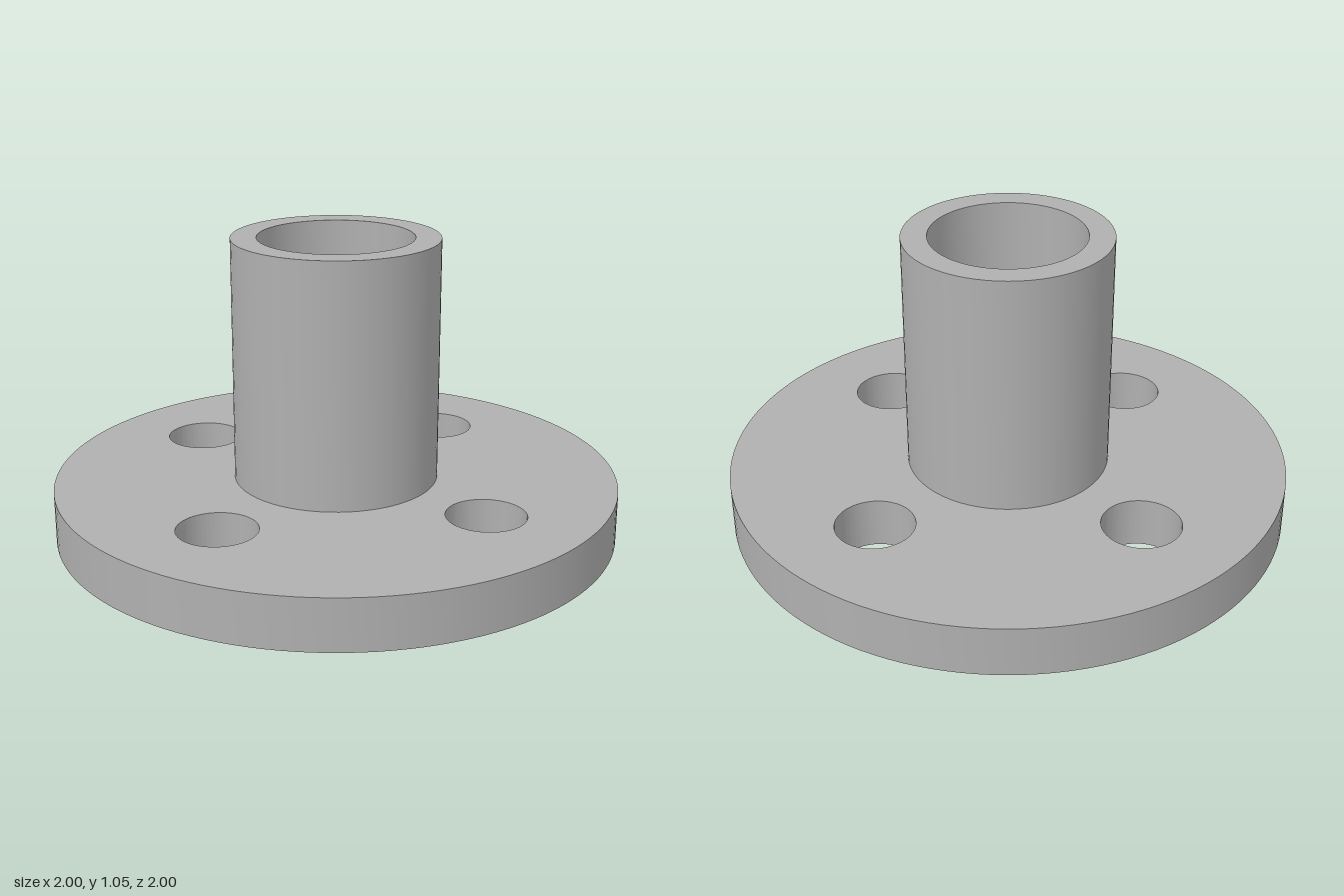
import * as THREE from 'three';
import { toCreasedNormals } from 'three/addons/utils/BufferGeometryUtils.js';

const SEGMENTS = 64;
const FLANGE_RADIUS = 1, FLANGE_HEIGHT = 0.182;
const HUB_RADIUS = 0.363, BORE_RADIUS = 0.273, TOTAL_HEIGHT = 1.048;
const BOLT_CIRCLE = 0.636, BOLT_RADIUS = 0.138, BOLT_COUNT = 4;

function circle(PathType, x, y, radius) {
  const path = new PathType();
  path.absarc(x, y, radius, 0, Math.PI * 2, false);
  return path;
}

export function createModel() {
  const model = new THREE.Group();
  model.name = 'flangedHub';
  const steel = new THREE.MeshStandardMaterial({ color: 0xb0b0b0 });
  steel.name = 'grey steel';

  function addPart(name, geometry) {
    const mesh = new THREE.Mesh(toCreasedNormals(geometry, Math.PI / 5), steel);
    mesh.name = name;
    model.add(mesh);
  }

  // Round flange with the central bore and a ring of bolt holes
  const disc = circle(THREE.Shape, 0, 0, FLANGE_RADIUS);
  disc.holes.push(circle(THREE.Path, 0, 0, BORE_RADIUS));
  for (let i = 0; i < BOLT_COUNT; i++) {
    const a = (i / BOLT_COUNT) * Math.PI * 2;
    disc.holes.push(circle(THREE.Path, BOLT_CIRCLE * Math.cos(a), BOLT_CIRCLE * Math.sin(a), BOLT_RADIUS));
  }
  const flange = new THREE.ExtrudeGeometry(disc, {
    depth: FLANGE_HEIGHT, bevelEnabled: false, curveSegments: SEGMENTS,
  });
  flange.rotateX(-Math.PI / 2);
  addPart('flange', flange);

  // Hollow hub: outer wall, top rim, then the bore wall down to the flange
  const profile = [
    new THREE.Vector2(HUB_RADIUS, FLANGE_HEIGHT),
    new THREE.Vector2(HUB_RADIUS, TOTAL_HEIGHT),
    new THREE.Vector2(BORE_RADIUS, TOTAL_HEIGHT),
    new THREE.Vector2(BORE_RADIUS, FLANGE_HEIGHT),
  ];
  addPart('hubTube', new THREE.LatheGeometry(profile, SEGMENTS));

  return model;
}
